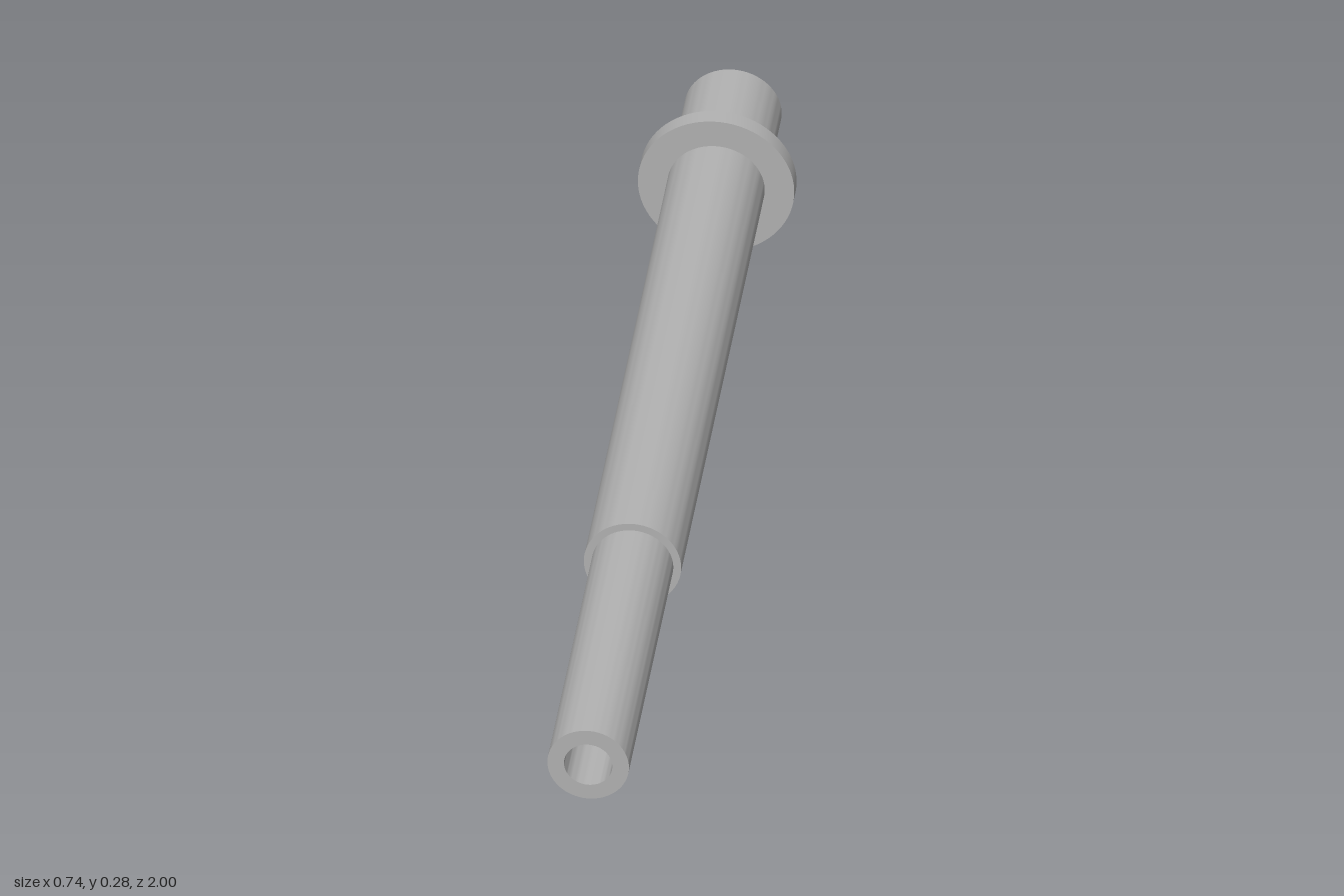
import * as THREE from 'three';
import { toCreasedNormals } from 'three/addons/utils/BufferGeometryUtils.js';

export function createModel() {
  const group = new THREE.Group();
  group.name = 'steppedHollowShaft';
  const steel = new THREE.MeshStandardMaterial({ color: 0xb2b2b2 });
  steel.name = 'grey steel';

  // Shaft axis, running from the thin front end to the thick back end
  const front = new THREE.Vector3(0.299, 0.0725, 0.977);
  const back = new THREE.Vector3(-0.287, 0.15, -0.974);
  const axis = back.clone().sub(front);
  const length = axis.length();

  // Radii, and stations measured from the front end
  const bore = 0.043, thin = 0.0725, thick = 0.0865, rim = 0.139;
  const step = 0.624, flangeStart = 1.8, flangeEnd = 1.833;

  // Each part is a [radius, station] profile turned around the axis
  const profiles = {
    thinEnd: [[bore, 0], [thin, 0], [thin, step]],
    mainSleeve: [[thin, step], [thick, step], [thick, flangeStart]],
    flange: [[thick, flangeStart], [rim, flangeStart], [rim, flangeEnd], [thick, flangeEnd]],
    thickEnd: [[thick, flangeEnd], [thick, length], [bore, length]],
    centreBore: [[bore, length], [bore, 0]],
  };

  const shaft = new THREE.Group();
  shaft.name = 'shaft';
  for (const [name, profile] of Object.entries(profiles)) {
    const points = profile.map(([r, s]) => new THREE.Vector2(r, s));
    const geometry = toCreasedNormals(new THREE.LatheGeometry(points, 72), Math.PI / 6);
    const mesh = new THREE.Mesh(geometry, steel);
    mesh.name = name;
    shaft.add(mesh);
  }

  // Lean the shaft onto its axis
  shaft.quaternion.setFromUnitVectors(new THREE.Vector3(0, 1, 0), axis.normalize());
  shaft.position.copy(front);
  group.add(shaft);
  return group;
}
